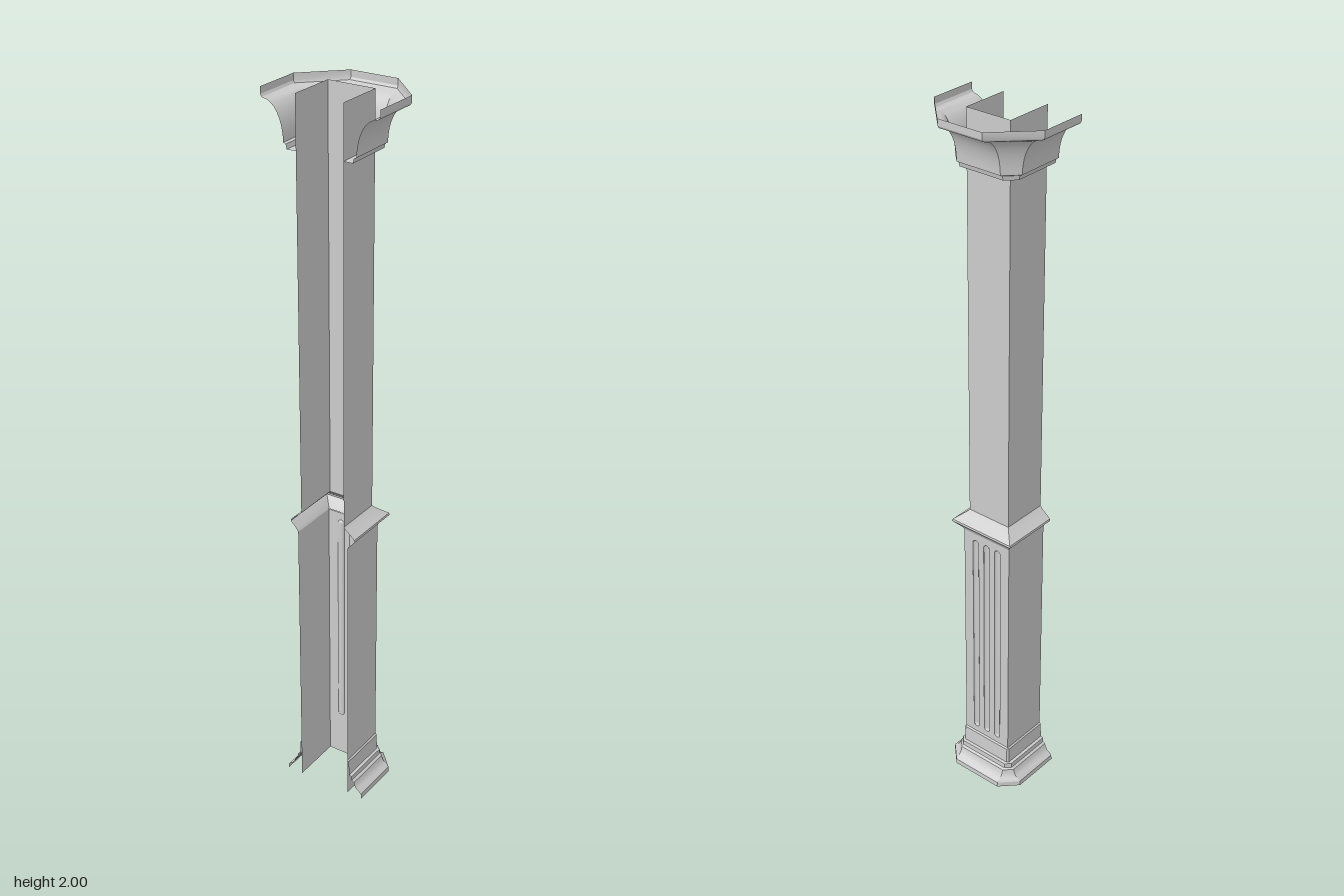
import * as THREE from 'three';
import { toCreasedNormals } from 'three/addons/utils/BufferGeometryUtils.js';

const FRONT = 0.117;                       // open front edge of every wall
const UPPER = { half: 0.067, back: -0.019 };
const LOWER = { half: 0.078, back: -0.029 };

const material = new THREE.MeshStandardMaterial({ color: 0xcccccc, side: THREE.DoubleSide });

function addMesh(parent, name, geometry) {
  const mesh = new THREE.Mesh(geometry, material);
  mesh.name = name;
  parent.add(mesh);
  return mesh;
}

// U-shaped plan around three sides, pushed outwards by d; corners are mitred or chamfered
function planPath({ half, back }, d, chamfer) {
  const corner = chamfer
    ? [[half + d, back], [half, back - d]]
    : [[half + d, back - d]];
  const leftSide = [[half + d, FRONT], ...corner];
  return [...leftSide, ...leftSide.map(([x, z]) => [-x, z]).reverse()];
}

// Sweep a profile of [offset, height] points, top to bottom, around the plan
function sweep(plan, profile, chamfer = false) {
  const rows = profile.map(([d, y]) =>
    planPath(plan, d, chamfer).map(([x, z]) => new THREE.Vector3(x, y, z)));
  const positions = [];
  const triangle = (a, b, c) => {
    if (new THREE.Triangle(a, b, c).getArea() > 1e-9) {
      for (const p of [a, b, c]) positions.push(p.x, p.y, p.z);
    }
  };
  for (let j = 0; j < rows.length - 1; j++) {
    for (let i = 0; i < rows[j].length - 1; i++) {
      const a = rows[j][i], b = rows[j + 1][i], c = rows[j + 1][i + 1], d = rows[j][i + 1];
      triangle(a, b, c);
      triangle(a, c, d);
    }
  }
  const geometry = new THREE.BufferGeometry();
  geometry.setAttribute('position', new THREE.Float32BufferAttribute(positions, 3));
  return toCreasedNormals(geometry, 0.45);
}

// Lower shaft: two plain side walls and a back wall with three round-ended flutes
function buildLowerShaft(top) {
  const group = new THREE.Group();
  group.name = 'lowerShaft';
  const { half, back } = LOWER;
  const depth = FRONT - back;

  for (const side of [1, -1]) {
    const wall = addMesh(group, side > 0 ? 'leftWall' : 'rightWall', new THREE.PlaneGeometry(depth, top));
    wall.rotation.y = side * Math.PI / 2;
    wall.position.set(side * half, top / 2, (FRONT + back) / 2);
  }

  const r = 0.01, y0 = 0.135, y1 = 0.79;
  const centres = [-0.038, 0, 0.038];
  const panel = new THREE.Shape();
  panel.moveTo(-half, 0).lineTo(half, 0).lineTo(half, top).lineTo(-half, top).closePath();
  for (const x of centres) {
    const slot = new THREE.Path();
    slot.absarc(x, y1 - r, r, 0, Math.PI, false);
    slot.absarc(x, y0 + r, r, Math.PI, Math.PI * 2, false);
    slot.closePath();
    panel.holes.push(slot);
  }
  const wall = addMesh(group, 'flutedBackWall', new THREE.ShapeGeometry(panel, 8));
  wall.rotation.y = Math.PI;
  wall.position.z = back;

  // each groove is a half sphere stretched apart at its equator
  for (const x of centres) {
    const groove = new THREE.SphereGeometry(r, 8, 9, 0, Math.PI);
    groove.scale(1, 1, 0.6);
    const p = groove.attributes.position;
    const stretch = (y1 - y0) / 2 - r;
    for (let i = 0; i < p.count; i++) p.setY(i, p.getY(i) + Math.sign(p.getY(i)) * stretch);
    groove.computeVertexNormals();
    addMesh(group, 'flute', groove).position.set(x, (y0 + y1) / 2, back);
  }
  return group;
}

export function createModel() {
  const model = new THREE.Group();
  model.name = 'halfColumn';

  addMesh(model, 'upperShaft', sweep(UPPER, [[0, 2], [0, 0.875]]));

  // mitred band between the two shafts
  addMesh(model, 'middleBand', sweep(UPPER, [
    [0, 0.875], [0.006, 0.868], [0.033, 0.846], [0.034, 0.84], [0.014, 0.818], [0.011, 0.812],
  ]));

  model.add(buildLowerShaft(0.812));

  // flared capital: lip, concave cove, small step and a floor back to the shaft
  const cove = [];
  for (let i = 0; i <= 8; i++) {
    const a = (i / 8) * Math.PI / 2;
    cove.push([0.092 - 0.056 * Math.sin(a), 1.876 + 0.098 * Math.cos(a)]);
  }
  addMesh(model, 'capital', sweep(UPPER, [
    [0.1, 2], [0.1, 1.982], [0.096, 1.976], ...cove,
    [0.029, 1.873], [0.026, 1.861], [0, 1.861],
  ], true));

  // stepped base moulding
  addMesh(model, 'base', sweep(LOWER, [
    [0, 0.116], [0.004, 0.112], [0.006, 0.066], [0.014, 0.064], [0.015, 0.05],
    [0.022, 0.046], [0.025, 0.036], [0.031, 0.026], [0.04, 0.02], [0.046, 0.014], [0.047, 0],
  ], true));

  return model;
}
